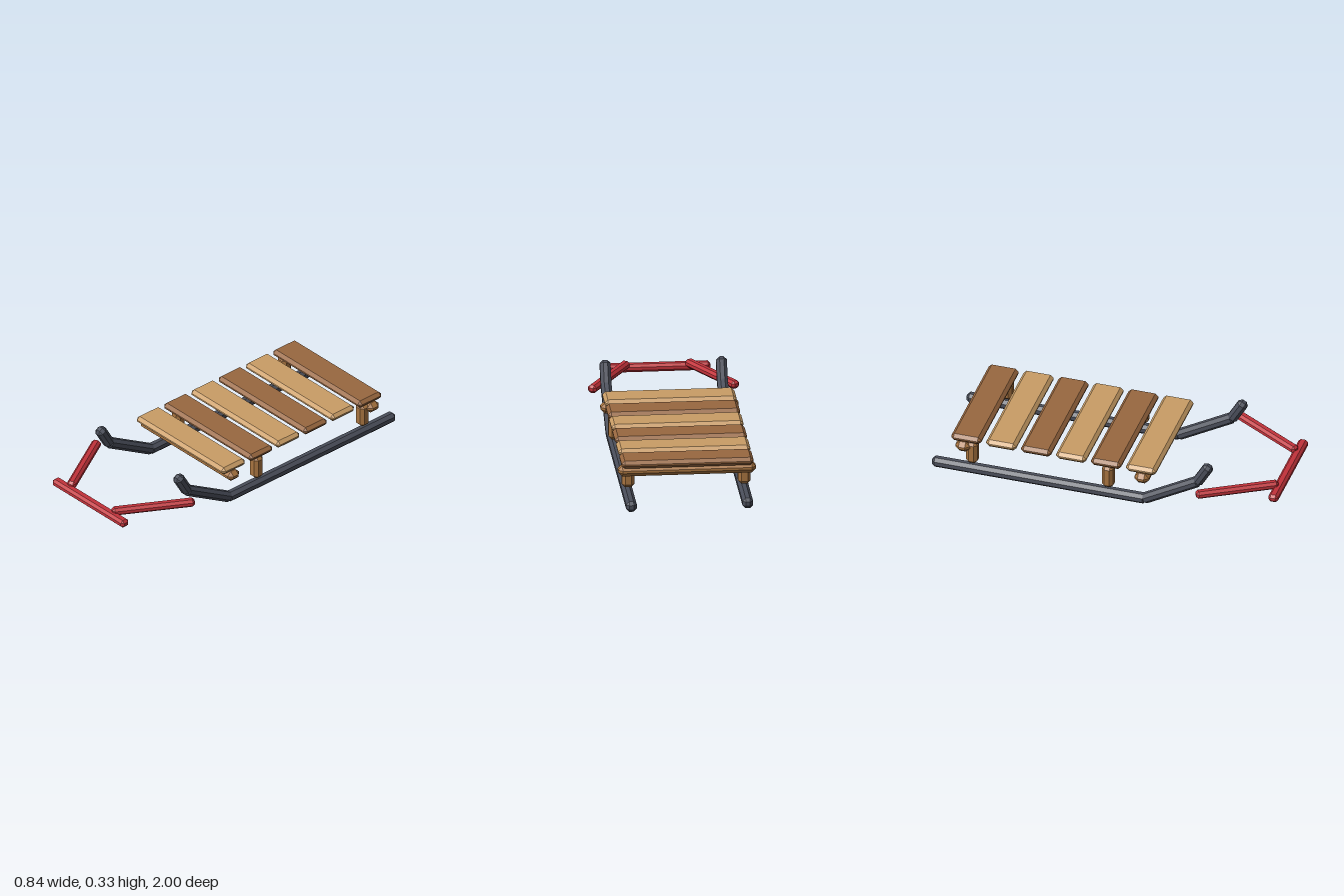
import * as THREE from 'three';
import { ConvexGeometry } from 'three/addons/geometries/ConvexGeometry.js';

const mat = (name, color) => {
  const m = new THREE.MeshStandardMaterial({ color });
  m.name = name;
  return m;
};

// Box with all edges and corners chamfered by c
function chamferBox(w, h, d, c) {
  const pts = [];
  const [x, y, z] = [w / 2, h / 2, d / 2];
  for (const i of [-1, 1]) for (const j of [-1, 1]) for (const k of [-1, 1]) {
    pts.push(
      new THREE.Vector3(i * x, j * (y - c), k * (z - c)),
      new THREE.Vector3(i * (x - c), j * y, k * (z - c)),
      new THREE.Vector3(i * (x - c), j * (y - c), k * z));
  }
  return new ConvexGeometry(pts);
}

export function createModel() {
  const lightWood = mat('light wood', 0xc99d66);
  const darkWood = mat('dark wood', 0x996840);
  const midWood = mat('mid wood', 0xa87440);
  const steel = mat('slate metal', 0x4a4e5a);
  const red = mat('red', 0xc2323a);

  const sled = new THREE.Group();
  sled.name = 'sled';
  const add = (name, size, c, material, pos, parent = sled) => {
    const mesh = new THREE.Mesh(chamferBox(...size, c), material);
    mesh.name = name;
    mesh.position.set(...pos);
    parent.add(mesh);
    return mesh;
  };

  // Seat planks in alternating wood
  for (let i = 0; i < 6; i++) {
    add('seatPlank', [0.738, 0.045, 0.175], 0.018, i % 2 ? lightWood : darkWood,
      [0, 0.236, -0.795 + i * 0.2036]);
  }

  // Crossbars under the first and last planks
  for (const z of [0.23, -0.813]) {
    add('crossbar', [0.77, 0.062, 0.084], 0.024, midWood, [0, 0.187, z]);
  }

  // Runner centre line as [y, z], with curled-up nose
  const path = [[0.03, -1], [0.03, 0.235], [0.207, 0.545], [0.327, 0.615]];
  for (const s of [1, -1]) {
    const runner = new THREE.Group();
    runner.name = s > 0 ? 'leftRunner' : 'rightRunner';
    sled.add(runner);
    for (let i = 0; i < 3; i++) {
      const [y0, z0] = path[i];
      const [y1, z1] = path[i + 1];
      const len = Math.hypot(y1 - y0, z1 - z0);
      // Segments overlap slightly at the bends
      const a = i > 0 ? 0.014 : 0;
      const b = i < 2 ? 0.014 : 0;
      const k = (len + b - a) / 2 / len;
      const seg = add('runnerSegment', [0.06, 0.06, len + a + b], 0.018, steel,
        [s * 0.325, y0 + (y1 - y0) * k, z0 + (z1 - z0) * k], runner);
      seg.rotation.x = -Math.atan2(y1 - y0, z1 - z0);
    }

    // Posts between runner and seat
    for (const z of [0.026, -0.766]) {
      add('post', [0.07, 0.14, 0.065], 0.018, midWood, [s * 0.325, 0.144, z]);
    }

    // Slanted arm of the pull handle
    const arm = add('handleArm', [0.052, 0.046, 0.47], 0.014, red, [s * 0.289, 0.175, 0.763]);
    arm.rotation.y = -s * Math.PI / 6;
  }

  // Front bar of the pull handle
  add('handleBar', [0.594, 0.046, 0.056], 0.014, red, [0, 0.152, 0.972]);

  return sled;
}
